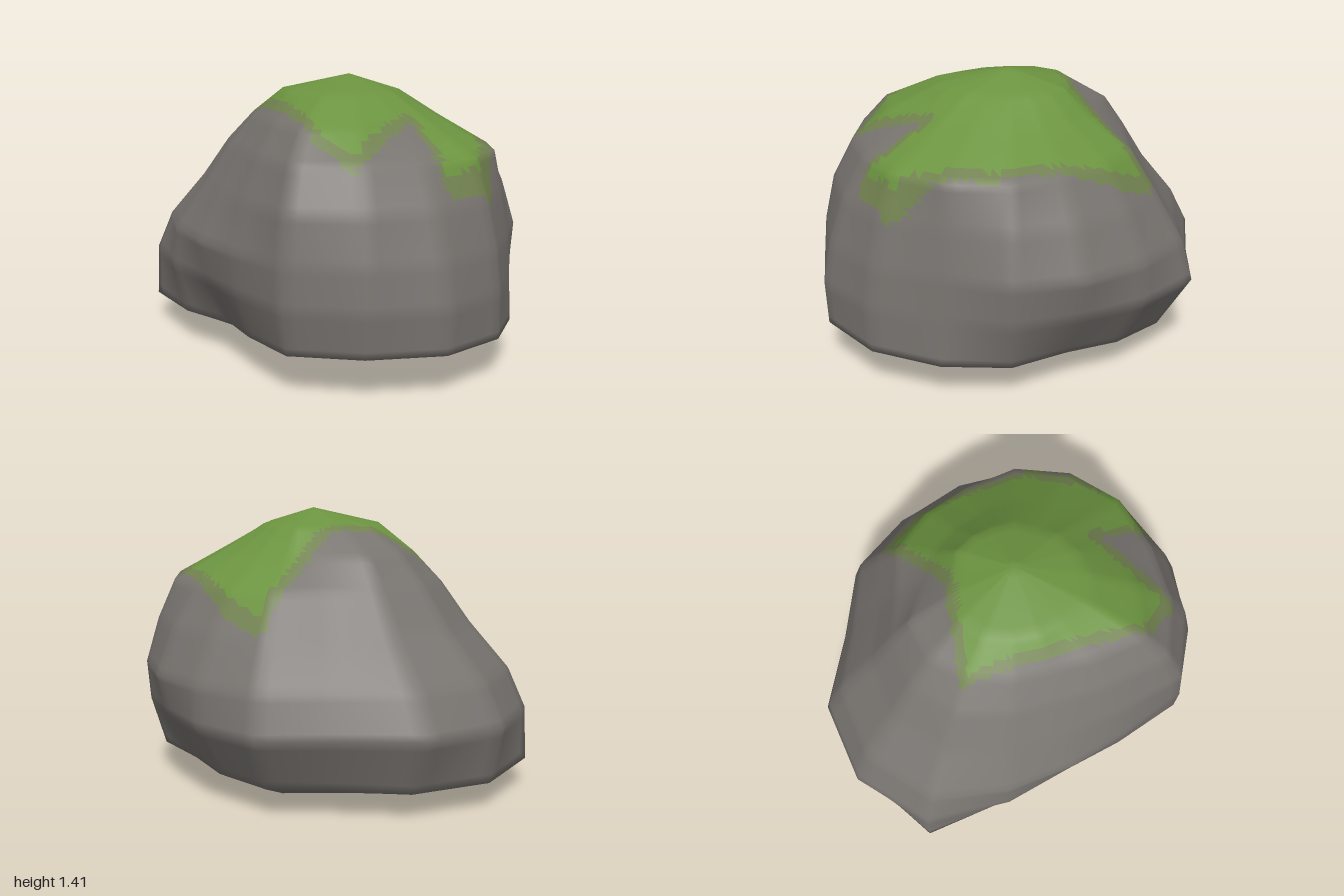
import * as THREE from 'three';
import { mergeVertices } from 'three/addons/utils/BufferGeometryUtils.js';

const AXIS_X = 0.13; // the rock is built round a vertical axis under its peak
const SPLIT = 6; // subdivisions of each facet
const RIM_Y = 0.17, PEAK_Y = 1.41;

// Widest outline: radii every 22.5 degrees from +x through +z (front), -x and -z
const OUTLINE = [0.86, 0.94, 0.99, 0.97, 0.96, 0.84, 0.83, 0.94, 1.13, 1.15, 1.08, 0.93, 0.97, 0.91, 0.88, 0.89];

// Height, then the share of the outline kept at it, every 45 degrees
const LEVELS = [
  [0.04, 0.24, 0.33, 0.44, 0.5, 0.53, 0.57, 0.57, 0.35],
  [RIM_Y, 1, 0.99, 0.95, 0.81, 1, 0.88, 0.83, 0.78],
  [0.42, 0.99, 1, 1, 0.96, 0.99, 1, 1, 0.95],
  [0.62, 0.975, 0.96, 1, 1, 0.91, 0.9, 0.94, 1],
  [0.85, 0.93, 0.88, 0.97, 0.86, 0.73, 0.72, 0.8, 0.89],
  [1.05, 0.88, 0.76, 0.87, 0.72, 0.6, 0.6, 0.66, 0.74],
  [1.2, 0.56, 0.52, 0.72, 0.58, 0.47, 0.5, 0.44, 0.48],
  [1.33, 0.29, 0.32, 0.41, 0.41, 0.32, 0.3, 0.3, 0.29],
];

// Outline of the moss seen from above
const MOSS = [
  [0.17, -0.74], [0.4, -0.62], [0.78, -0.2], [0.9, 0.28], [0.76, 0.5],
  [0.52, 0.24], [0.4, 0.74], [0.18, 0.68], [-0.42, -0.02], [0, -0.28],
].map(([x, z]) => new THREE.Vector2(x, z));

function isMossy(x, z) {
  let inside = false;
  MOSS.forEach((a, i) => {
    const b = MOSS[(i + 1) % MOSS.length];
    if ((a.y > z) !== (b.y > z) && x < a.x + ((z - a.y) * (b.x - a.x)) / (b.y - a.y)) inside = !inside;
  });
  return inside;
}

// One rib: the corner points from the ground, up direction i, to the peak
function ribPoints(i) {
  const angle = (i / OUTLINE.length) * Math.PI * 2;
  const points = LEVELS.map(([y, ...keep]) => {
    const share = (keep[Math.floor(i / 2)] + keep[Math.ceil(i / 2) % keep.length]) / 2;
    const r = OUTLINE[i] * share;
    const x = Math.cos(angle) * r, z = Math.sin(angle) * r;
    // The sharp base rim rises towards the front and +x
    const tilt = y === RIM_Y ? 0.03 * z + 0.02 * x : 0;
    return new THREE.Vector3(AXIS_X + x, y + tilt, z);
  });
  return [new THREE.Vector3(AXIS_X, 0, 0), ...points, new THREE.Vector3(AXIS_X, PEAK_Y, 0)];
}

function rockSurface() {
  const ribs = OUTLINE.map((_, i) => ribPoints(i));
  const columns = ribs.length * SPLIT, rows = (ribs[0].length - 1) * SPLIT;
  const positions = [], index = [];
  // Fill the facets between neighbouring ribs and levels
  const low = new THREE.Vector3(), high = new THREE.Vector3();
  for (let s = 0; s < columns; s++) {
    const a = ribs[Math.floor(s / SPLIT)], b = ribs[Math.ceil((s + 1) / SPLIT - 1e-9) % ribs.length];
    const next = ribs[(Math.floor(s / SPLIT) + 1) % ribs.length] ?? b;
    const across = (s % SPLIT) / SPLIT;
    for (let j = 0; j <= rows; j++) {
      const k = Math.min(Math.floor(j / SPLIT), a.length - 2);
      low.lerpVectors(a[k], next[k], across);
      high.lerpVectors(a[k + 1], next[k + 1], across);
      positions.push(...low.lerp(high, j / SPLIT - k));
    }
  }
  const id = (s, j) => (s % columns) * (rows + 1) + j;
  for (let s = 0; s < columns; s++) {
    for (let j = 0; j < rows; j++) {
      const a = id(s, j), b = id(s, j + 1), c = id(s + 1, j + 1), d = id(s + 1, j);
      if (j < rows - 1) index.push(a, b, c);
      if (j > 0) index.push(a, c, d);
    }
  }
  const geometry = new THREE.BufferGeometry();
  geometry.setAttribute('position', new THREE.Float32BufferAttribute(positions, 3));
  geometry.setIndex(index);
  const merged = mergeVertices(geometry, 1e-5);
  merged.computeVertexNormals();
  return merged;
}

export function createModel() {
  const group = new THREE.Group();
  group.name = 'mossyRock';
  const surface = rockSurface();
  const pos = surface.attributes.position, index = surface.index.array;

  // Sort triangles into bare stone, full moss and a thin band of growth between
  const faces = { stone: [], mossEdge: [], moss: [] };
  const reach = [[0.03, 0], [-0.03, 0], [0, 0.03], [0, -0.03]];
  for (let i = 0; i < index.length; i += 3) {
    const tri = [index[i], index[i + 1], index[i + 2]];
    const mean = (f) => (f(tri[0]) + f(tri[1]) + f(tri[2])) / 3;
    const x = mean((v) => pos.getX(v)), y = mean((v) => pos.getY(v)), z = mean((v) => pos.getZ(v));
    const count = y < 0.8 ? 0 : reach.filter(([dx, dz]) => isMossy(x + dx, z + dz)).length;
    faces[count === 0 ? 'stone' : count === 4 ? 'moss' : 'mossEdge'].push(...tri);
  }

  // The three parts share one set of smooth normals, so they meet seamlessly
  const colors = { stone: 0x787470, mossEdge: 0x71814f, moss: 0x6c9440 };
  for (const [name, list] of Object.entries(faces)) {
    const part = new THREE.BufferGeometry();
    part.setAttribute('position', pos);
    part.setAttribute('normal', surface.attributes.normal);
    part.setIndex(list);
    const mesh = new THREE.Mesh(part, new THREE.MeshStandardMaterial({ color: colors[name] }));
    mesh.name = name;
    group.add(mesh);
  }
  return group;
}
